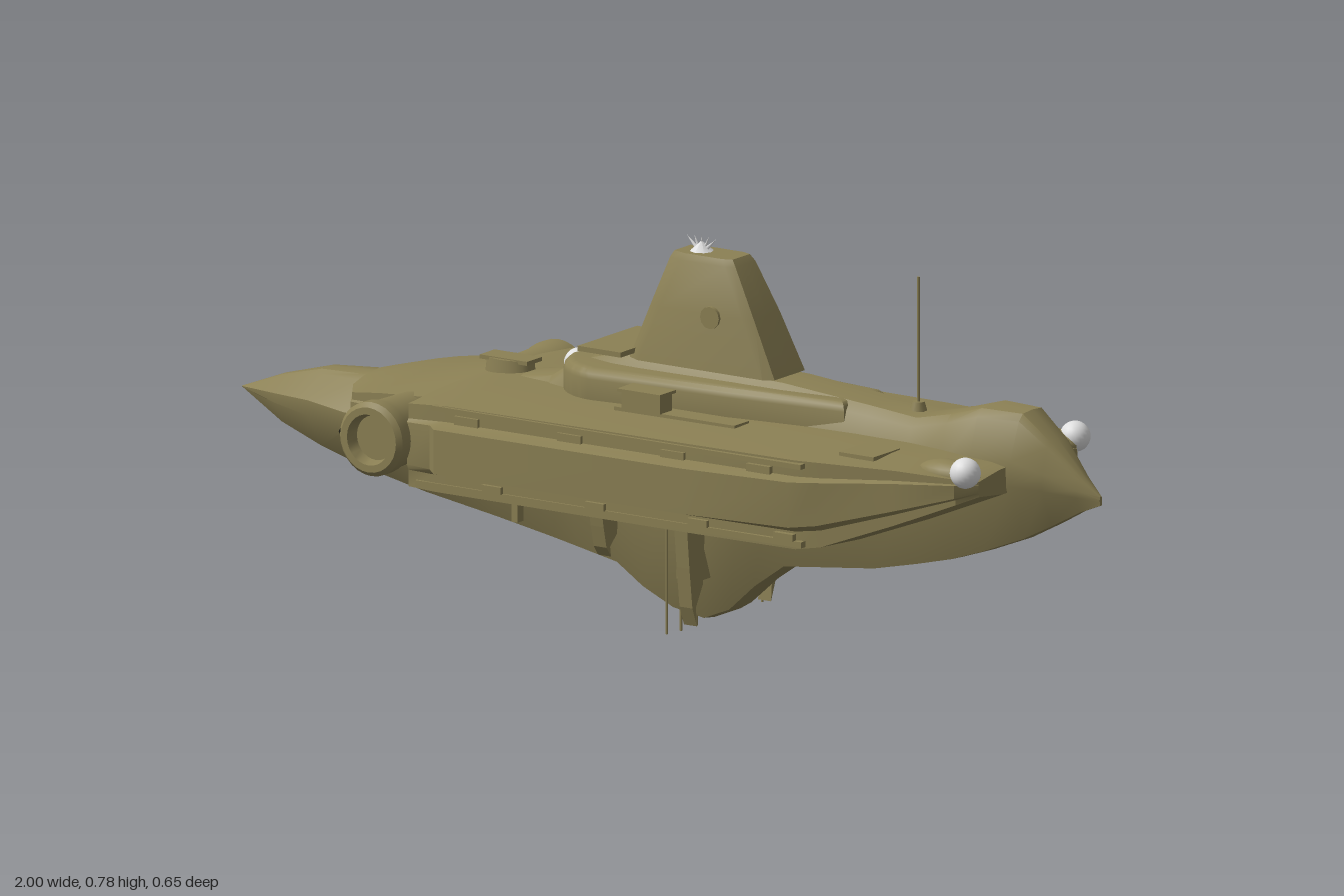
import * as THREE from 'three';
import { toCreasedNormals } from 'three/addons/utils/BufferGeometryUtils.js';

// Skins a row of half cross-sections ([z, y] from top centre to bottom centre), mirrored in z.
function loft(rows) {
  const pos = [], idx = [];
  const rings = rows.map(({ x, half }) => [
    ...half.map(([z, y]) => [x, y, z]),
    ...half.slice(1, -1).reverse().map(([z, y]) => [x, y, -z]),
  ]);
  const n = rings[0].length;
  rings.forEach((r) => r.forEach((p) => pos.push(...p)));
  for (let i = 0; i < rings.length - 1; i++) {
    for (let j = 0; j < n; j++) {
      const a = i * n + j, b = i * n + (j + 1) % n;
      idx.push(a, a + n, b, b, a + n, b + n);
    }
  }
  const last = (rings.length - 1) * n;
  const h = rows[0].half.length;
  // End caps are strips between the mirrored halves
  for (let j = 0; j < h - 1; j++) {
    const a = j, b = j + 1, c = (n - j) % n, d = n - j - 1;
    idx.push(a, b, c, b, d, c, last + a, last + c, last + b, last + b, last + c, last + d);
  }
  const g = new THREE.BufferGeometry();
  g.setAttribute('position', new THREE.Float32BufferAttribute(pos, 3));
  g.setIndex(idx);
  return toCreasedNormals(g, 0.6);
}

export function createModel() {
  const group = new THREE.Group();
  const mat = (name, color) => new THREE.MeshStandardMaterial({ name, color, side: THREE.DoubleSide });
  const olive = mat('olive hull', 0x8b8054);
  const white = mat('white lamp', 0xdedede);
  const black = mat('black intake', 0x1c1b14);
  const add = (name, geo, m, x = 0, y = 0, z = 0) => {
    const mesh = new THREE.Mesh(geo, m);
    mesh.name = name;
    mesh.position.set(x, y, z);
    group.add(mesh);
    return mesh;
  };
  const box = (name, w, h, d, x, y, z, m = olive) => add(name, new THREE.BoxGeometry(w, h, d), m, x, y, z);
  const rod = (name, r, y0, y1, x, z) =>
    add(name, new THREE.CylinderGeometry(r, r, y1 - y0, 6), olive, x, (y0 + y1) / 2, z);

  // Central hull: x, top, bottom, top half width, widest half width, bottom half width
  const hull = [
    [-1, 0.336, 0.334, 0.001, 0.002, 0.001],
    [-0.9, 0.375, 0.28, 0.015, 0.038, 0.012],
    [-0.8, 0.402, 0.247, 0.03, 0.07, 0.022],
    [-0.7, 0.408, 0.222, 0.045, 0.095, 0.03],
    [-0.55, 0.42, 0.193, 0.055, 0.1, 0.035],
    [-0.38, 0.45, 0.168, 0.06, 0.1, 0.04],
    [-0.25, 0.47, 0.145, 0.06, 0.1, 0.04],
    [-0.19, 0.51, 0.133, 0.062, 0.1, 0.04],
    [-0.1, 0.535, 0.115, 0.065, 0.1, 0.04],
    [-0.04, 0.54, 0.075, 0.066, 0.1, 0.04],
    [0.03, 0.54, 0.042, 0.066, 0.1, 0.038],
    [0.1, 0.538, 0.03, 0.066, 0.1, 0.036],
    [0.16, 0.535, 0.055, 0.066, 0.1, 0.038],
    [0.22, 0.532, 0.11, 0.066, 0.1, 0.04],
    [0.29, 0.53, 0.16, 0.065, 0.1, 0.042],
    [0.5, 0.512, 0.185, 0.062, 0.095, 0.042],
    [0.6, 0.502, 0.208, 0.06, 0.09, 0.042],
    [0.68, 0.52, 0.228, 0.06, 0.09, 0.04],
    [0.75, 0.541, 0.252, 0.056, 0.085, 0.038],
    [0.84, 0.54, 0.288, 0.045, 0.075, 0.03],
    [0.9, 0.49, 0.32, 0.036, 0.055, 0.022],
    [0.96, 0.425, 0.355, 0.016, 0.026, 0.012],
    [1, 0.39, 0.372, 0.003, 0.004, 0.003],
  ];
  add('centralHull', loft(hull.map(([x, t, b, tw, w, bw]) => {
    const h = t - b;
    const upper = t - Math.min(0.35 * h, 0.12), lower = b + Math.min(0.45 * h, 0.17);
    return { x, half: [[0, t], [tw * 0.7, t - h * 0.01], [tw, t - h * 0.06], [w, upper], [w * 0.97, lower], [bw, b + h * 0.01], [0, b]] };
  })), olive);

  // Broad deck with side bands: x, half width, top, bottom, band depth
  const deck = [
    [-0.68, 0.09, 0.4, 0.355, 0], [-0.62, 0.18, 0.41, 0.33, 0.005], [-0.55, 0.19, 0.42, 0.3, 0.005],
    [-0.43, 0.2, 0.43, 0.28, 0.005], [-0.42, 0.28, 0.435, 0.272, 0.005], [-0.36, 0.283, 0.44, 0.27, 0.012],
    [-0.33, 0.283, 0.442, 0.27, 0.042], [0.25, 0.283, 0.445, 0.27, 0.042], [0.48, 0.278, 0.445, 0.27, 0.025],
    [0.53, 0.265, 0.444, 0.278, 0.015], [0.68, 0.23, 0.442, 0.335, 0.01], [0.8, 0.2, 0.435, 0.385, 0.006],
    [0.83, 0.165, 0.428, 0.398, 0.002],
  ];
  add('deck', loft(deck.map(([x, w, t, b, band]) => {
    const h = t - b, at = (f) => b + h * f;
    return { x, half: [[0, t + 0.015], [w * 0.6, t + 0.01], [w, t], [w, at(0.82)], [w + band, at(0.78)],
      [w + band, at(0.27)], [w, at(0.2)], [w, b], [w * 0.5, b - 0.01], [0, b - 0.01]] };
  })), olive);

  // Rounded platform around the tower foot
  const outline = new THREE.Shape();
  outline.moveTo(0.45, 0.07);
  outline.lineTo(0.2, 0.1);
  outline.lineTo(-0.08, 0.125);
  outline.absarc(-0.1, 0, 0.125, Math.PI / 2, Math.PI * 1.5, false);
  outline.lineTo(0.2, -0.1);
  outline.lineTo(0.45, -0.07);
  const platform = new THREE.ExtrudeGeometry(outline, {
    depth: 0.06, bevelThickness: 0.02, bevelSize: 0.02, bevelOffset: -0.02, bevelSegments: 3, curveSegments: 20,
  });
  platform.rotateX(-Math.PI / 2);
  add('platform', toCreasedNormals(platform, 0.6), olive, 0, 0.435, 0);
  box('platformRail', 0.1, 0.01, 0.2, -0.1, 0.545, 0);

  // Tapered tower with a small pointed crown
  const tower = [[0.53, -0.065, 0.275, 0.064], [0.64, -0.02, 0.222, 0.055], [0.735, 0.018, 0.172, 0.042], [0.748, 0.025, 0.162, 0.036]];
  const towerGeo = loft(tower.map(([y, x0, x1, w]) => ({
    x: y, half: [[0, x0], [w * 0.75, x0], [w, x0 + 0.03], [w, x1 - 0.02], [w * 0.8, x1], [0, x1]],
  })));
  // Stand the tower up by swapping x and y, reversing z to keep faces outward
  const turn = new THREE.Matrix4().set(0, 1, 0, 0, 1, 0, 0, 0, 0, 0, -1, 0, 0, 0, 0, 1);
  add('tower', towerGeo.applyMatrix4(turn), olive);
  for (const s of [-1, 1]) {
    const port = add('towerPort', new THREE.CylinderGeometry(0.022, 0.022, 0.012, 12), olive, 0.13, 0.635, s * 0.055);
    port.rotation.x = Math.PI / 2;
  }
  add('towerCap', new THREE.ConeGeometry(0.026, 0.022, 8), white, 0.07, 0.757, 0);
  for (let i = 0; i < 5; i++) {
    const spike = add('crownSpike', new THREE.ConeGeometry(0.005, 0.034, 5), white, 0.07 + (i - 2) * 0.011, 0.763, 0);
    spike.rotation.z = (2 - i) * 0.4;
  }

  // Lamps, hatch and aerial
  const ball = new THREE.SphereGeometry(0.03, 20, 14);
  add('frontLamp', ball, white, -0.215, 0.488, 0);
  add('aerialFoot', new THREE.CylinderGeometry(0.012, 0.018, 0.02, 10), olive, 0.575, 0.51, 0);
  rod('aerial', 0.003, 0.5, 0.765, 0.575, 0);
  const hatch = add('hatch', new THREE.CylinderGeometry(0.05, 0.055, 0.04, 20), olive, -0.375, 0.458, 0);
  hatch.scale.z = 0.68;
  box('hatchLid', 0.11, 0.008, 0.05, -0.375, 0.476, 0);

  for (const s of [-1, 1]) {
    // Side thruster drum with an open mouth
    const profile = [[0, -0.12], [0.065, -0.12], [0.068, 0], [0.073, 0.025], [0.073, 0.05], [0.064, 0.06], [0.05, 0.06], [0.044, 0.035], [0, 0.035]];
    const drum = add('thruster', toCreasedNormals(new THREE.LatheGeometry(profile.map((p) => new THREE.Vector2(...p)), 28), 0.6),
      olive, -0.482, 0.363, s * 0.265);
    drum.rotation.x = s * Math.PI / 2;
    const intake = add('intake', new THREE.SphereGeometry(1, 14, 10), black, -0.6, 0.328, s * 0.16);
    intake.scale.set(0.06, 0.018, 0.038);

    // Stern lamp on its arm
    add('sternLamp', ball, white, 0.812, 0.447, s * 0.185);
    const arm = add('lampArm', new THREE.SphereGeometry(1, 16, 12), olive, 0.76, 0.435, s * 0.165);
    arm.scale.set(0.07, 0.028, 0.035);

    // Deck fittings and side slots
    box('deckLocker', 0.09, 0.035, 0.04, 0.045, 0.478, s * 0.15);
    box('lockerLid', 0.1, 0.006, 0.055, 0.045, 0.498, s * 0.15);
    box('deckPanel', 0.08, 0.008, 0.09, 0.575, 0.452, s * 0.165);
    box('deckPanel', 0.28, 0.008, 0.05, 0.12, 0.457, s * 0.14);
    box('sideRail', 0.86, 0.01, 0.016, 0.07, 0.436, s * 0.282);
    box('lowerRail', 0.9, 0.012, 0.03, 0.05, 0.282, s * 0.272);
    for (const x of [-0.28, -0.04, 0.2, 0.4]) {
      box('upperSlot', 0.055, 0.018, 0.012, x, 0.418, s * 0.283);
      box('lowerSlot', 0.045, 0.014, 0.012, x + 0.06, 0.294, s * 0.285);
    }

    // Hanging fins, keel pods and sounding rods
    const fin = new THREE.Shape([[0.095, 0.28], [0.162, 0.28], [0.15, 0.16], [0.14, 0.08], [0.125, 0.042], [0.128, 0.08], [0.105, 0.12]]
      .map((p) => new THREE.Vector2(...p)));
    const finGeo = new THREE.ExtrudeGeometry(fin, { depth: 0.03, bevelEnabled: false });
    finGeo.rotateY(-Math.PI / 2);
    const mainFin = add('keelFin', finGeo, olive, 0.145, 0, 0);
    const foreFin = add('foreFin', finGeo, olive, -0.055, 0.13, 0);
    foreFin.scale.y = 0.53;
    if (s < 0) {
      mainFin.scale.z = foreFin.scale.z = -1;
    }
    box('keelPod', 0.05, 0.16, 0.05, 0.11, 0.205, s * 0.082);
    add('podTip', new THREE.ConeGeometry(0.014, 0.05, 8), olive, 0.11, 0.105, s * 0.09).rotation.x = Math.PI;
    box('foreStrut', 0.014, 0.1, 0.02, -0.29, 0.235, s * 0.1);
    rod('soundingRod', 0.0025, 0.028, 0.28, 0.1, s * 0.161);
    rod('keelPin', 0.003, 0, 0.08, 0.04, s * 0.026);
  }
  return group;
}
